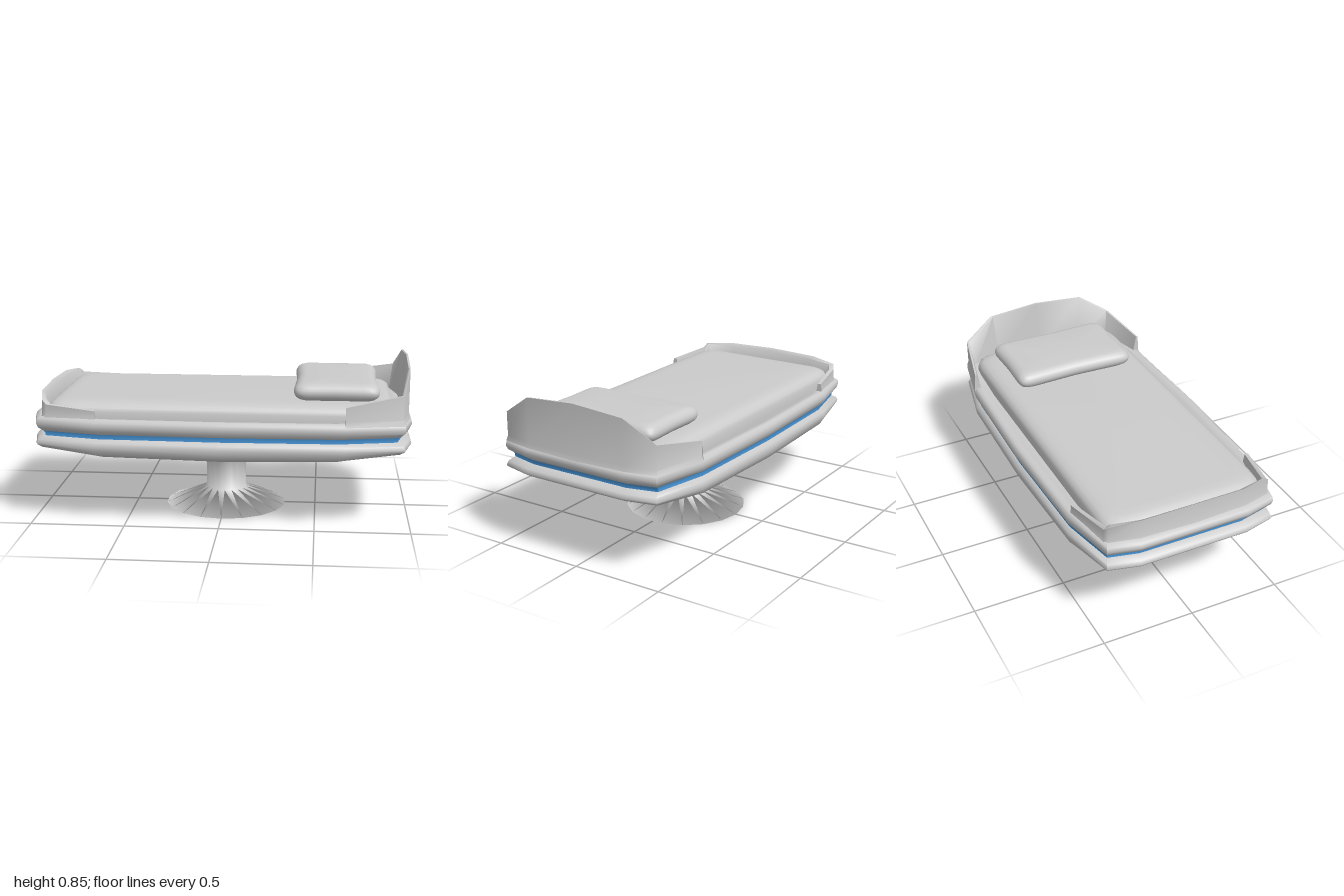
import * as THREE from 'three';
import { toCreasedNormals } from 'three/addons/utils/BufferGeometryUtils.js';

// Skins a series of closed rings (arrays of [x, y, z]), optionally capping both ends.
function loft(rings, crease, capped = true) {
  const n = rings[0].length, last = (rings.length - 1) * n, index = [];
  for (let i = 0; i < rings.length - 1; i++) {
    for (let j = 0; j < n; j++) {
      const k = (j + 1) % n, a = i * n, b = a + n;
      index.push(a + j, b + j, b + k, a + j, b + k, a + k);
    }
  }
  if (capped) {
    for (let j = 1; j < n - 1; j++) {
      index.push(0, j, j + 1, last, last + j + 1, last + j);
    }
  }
  const g = new THREE.BufferGeometry();
  g.setAttribute('position', new THREE.Float32BufferAttribute(rings.flat(2), 3));
  g.setIndex(index);
  return toCreasedNormals(g, crease);
}

// Mirrors a quarter outline (from the +x end towards +z) into a full loop.
function mirrorLoop(quarter, middle = []) {
  const flip = (pts, sx, sz) => pts.map(([x, z]) => [x * sx, z * sz]);
  const back = [...quarter].reverse();
  return [
    ...quarter, ...middle, ...flip(back, -1, 1),
    ...flip(quarter, -1, -1), ...flip(middle, 1, -1), ...flip(back, 1, -1),
  ];
}

export function createModel() {
  const group = new THREE.Group();
  const grey = new THREE.MeshStandardMaterial({ color: 0xcccccc });
  const blue = new THREE.MeshStandardMaterial({ color: 0x4a9be0 });
  const add = (name, geometry, material = grey) => {
    const mesh = new THREE.Mesh(geometry, material);
    mesh.name = name;
    group.add(mesh);
    return mesh;
  };

  // Bed base: one outline scaled to each [scale, height, lift at the ends]
  const outline = mirrorLoop([[1, 0.3], [0.96, 0.465], [0.65, 0.532]], [[0, 0.549]]);
  const baseRing = ([s, y, lift = 0]) => outline.map(([x, z]) => {
    const t = Math.abs(x) < 0.5 ? 0 : Math.abs(x) < 0.8 ? 0.2 : 1;
    return [x * s, y + lift * t, z * s];
  });
  add('lowerBase', loft([
    [0.6, 0.364], [0.86, 0.364, 0.04], [0.93, 0.367, 0.04], [0.97, 0.38, 0.03],
    [0.995, 0.41, 0.015], [1, 0.435], [0.99, 0.455], [0.955, 0.472],
  ].map(baseRing), 1));
  add('lightStrip', loft([[0.955, 0.472], [0.955, 0.485], [0.962, 0.497]].map(baseRing), 1, false), blue);
  add('upperBase', loft([
    [0.962, 0.497], [0.99, 0.517], [1, 0.54], [0.995, 0.563],
    [0.97, 0.577], [0.93, 0.577], [0.89, 0.57], [0.84, 0.55],
  ].map(baseRing), 1));

  // End boards: a tapering wall section swept around each end, flared into the base rim.
  // Points run from the tip to the middle as [x, z, top, drop of inner edge].
  const endBoard = (half, topWidth, footWidth) => {
    const path = [...half, ...half.slice(0, -1).reverse().map(([x, z, y, d]) => [x, -z, y, d])];
    if (half[0][0] < 0) path.reverse();
    return loft(path.map(([x, z, y, d], i) => {
      const atTip = i === 0 || i === path.length - 1;
      const inset = (w) => [x - (atTip ? 0 : Math.sign(x) * w), z - Math.sign(z) * w];
      const [topX, topZ] = inset(topWidth), [footX, footZ] = inset(footWidth);
      const flareX = atTip ? x : x * 1.008;
      return [
        [flareX, 0.562, z * 1.015], [x, 0.59, z], [x, y, z],
        [topX, y - d, topZ], [footX, 0.56, footZ],
      ];
    }), 1.15);
  };
  add('headboard', endBoard([
    [0.65, 0.522, 0.665, 0], [0.945, 0.46, 0.718, 0], [0.982, 0.29, 0.83, 0], [0.988, 0, 0.852, 0],
  ], 0.01, 0.03));
  add('footboard', endBoard([
    [-0.64, 0.508, 0.62, 0], [-0.905, 0.457, 0.64, 0], [-0.928, 0.445, 0.663, 0],
    [-0.965, 0.29, 0.679, 0.012], [-0.972, 0, 0.686, 0.014],
  ], 0.02, 0.03));

  // Mattress: chamfered rectangle with softly rounded upper edges
  const mattressOutline = mirrorLoop([[0.912, 0.36], [0.892, 0.408], [0.85, 0.434], [0.78, 0.441]]);
  add('mattress', loft([
    [0, 0.55], [0, 0.6], [0.008, 0.622], [0.028, 0.638], [0.06, 0.647], [0.1, 0.65],
  ].map(([d, y]) => mattressOutline.map(([x, z]) =>
    [x * (1 - d / 0.912) - 0.005, y, z * (1 - d / 0.44)])), 0.9));

  // Pillow: rounded rectangle with pinched sides and a bulging edge
  const signedPow = (v, p) => Math.sign(v) * Math.abs(v) ** p;
  const pillowRing = (inset, y) => Array.from({ length: 48 }, (_, i) => {
    const t = (i / 48) * Math.PI * 2;
    const u = signedPow(Math.cos(t), 0.25), v = signedPow(Math.sin(t), 0.25);
    return [
      u * (0.239 - inset) * (1 - 0.1 * (1 - v * v)), y,
      v * (0.356 - inset) * (1 - 0.045 * (1 - u * u)),
    ];
  });
  const pillowRings = [pillowRing(0.2, -0.049)];
  for (let i = 0; i <= 10; i++) {
    const a = (i / 10 - 0.5) * Math.PI;
    pillowRings.push(pillowRing(0.06 * (1 - Math.cos(a)), 0.047 * Math.sin(a)));
  }
  pillowRings.push(pillowRing(0.2, 0.05));
  add('pillow', loft(pillowRings, 0.9)).position.set(0.605, 0.698, 0);

  // Pedestal: flared foot, column and flared top
  const profile = [[0, 0], [0.333, 0], [0.11, 0.092], [0.11, 0.295], [0.225, 0.362], [0, 0.364]]
    .map(([r, y]) => new THREE.Vector2(r, y));
  add('pedestal', new THREE.LatheGeometry(profile, 18));

  return group;
}
